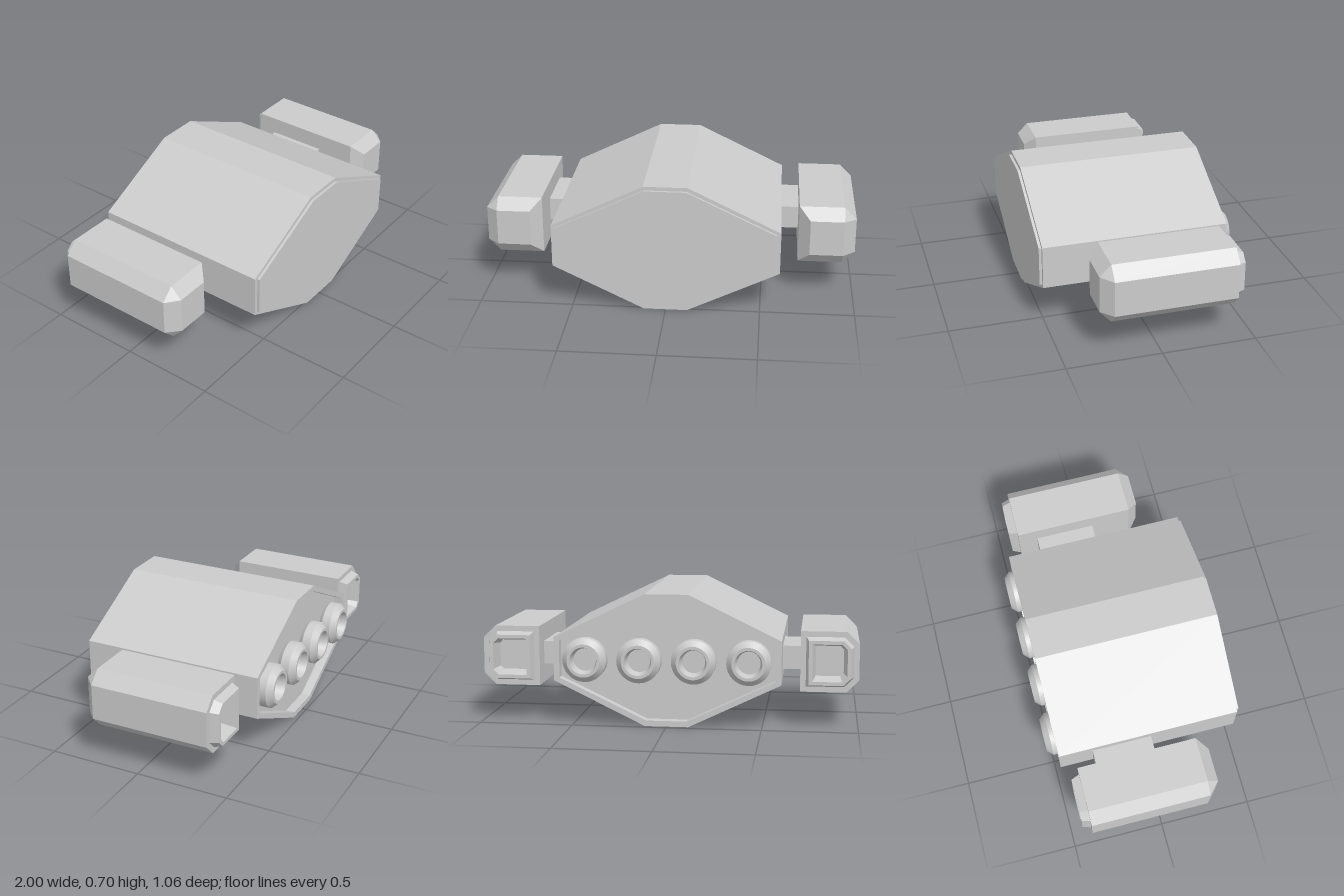
import * as THREE from 'three';
import { toCreasedNormals } from 'three/addons/utils/BufferGeometryUtils.js';

const grey = new THREE.MeshStandardMaterial({ color: 0xcccccc });
const greyFlat = new THREE.MeshStandardMaterial({ color: 0xcccccc, flatShading: true });

// Skin through sections [z, [[x, y], ...]] listed from front (+z) to back,
// points counter-clockwise seen from the front; both ends are capped.
function loft(sections) {
  const n = sections[0][1].length;
  const pos = [];
  const index = [];
  for (const [z, pts] of sections) for (const [x, y] of pts) pos.push(x, y, z);
  const last = (sections.length - 1) * n;
  for (let s = 0; s < last; s += n) {
    for (let i = 0; i < n; i++) {
      const j = (i + 1) % n;
      index.push(s + i, s + n + i, s + n + j, s + i, s + n + j, s + j);
    }
  }
  for (let i = 1; i < n - 1; i++) {
    index.push(0, i, i + 1, last, last + i + 1, last + i);
  }
  const geo = new THREE.BufferGeometry();
  geo.setAttribute('position', new THREE.Float32BufferAttribute(pos, 3));
  geo.setIndex(index);
  const flat = geo.toNonIndexed();
  flat.computeVertexNormals();
  return flat;
}

function addMesh(parent, name, geometry, material = greyFlat) {
  const mesh = new THREE.Mesh(geometry, material);
  mesh.name = name;
  parent.add(mesh);
  return mesh;
}

// Eight-sided hull outline, pulled in by d
function hullOutline(d) {
  const a = 0.115 - d * 0.25, w = 0.6 - d, h = 0.35 - d, s = 0.115 - d * 0.5;
  return [[a, h], [-a, h], [-w, s], [-w, -s], [-a, -h], [a, -h], [w, -s], [w, s]]
    .map(([x, y]) => [x, y + 0.35]);
}

// Pod outline with only the outer corners cut, pulled in by d
function podOutline(d) {
  const i = 0.695 + d, o = 1 - d, h = 0.16 - d, c = 0.065 - d * 0.6;
  return [[i, h], [i, -h], [o - c, -h], [o, c - h], [o, h - c], [o - c, h]]
    .map(([x, y]) => [x, y + 0.35]);
}

function createPod(side) {
  const pod = new THREE.Group();
  pod.name = side > 0 ? 'leftPod' : 'rightPod';
  // Mirroring also reverses the order so that faces keep pointing outwards
  const place = ([z, pts]) =>
    [z, side > 0 ? pts : pts.map(([x, y]) => [-x, y]).reverse()];

  const nose = [[0.755, 0.45], [0.755, 0.255], [0.935, 0.255],
    [0.935, 0.255], [0.935, 0.45], [0.935, 0.45]];
  addMesh(pod, 'podShell', loft([
    [0.31, nose],
    [0.25, podOutline(0)],
    [-0.395, podOutline(0)],
    // raised exhaust with a hollow opening
    [-0.395, podOutline(0.029)],
    [-0.44, podOutline(0.043)],
    [-0.44, podOutline(0.062)],
    [-0.36, podOutline(0.08)],
  ].map(place)));

  const strut = addMesh(pod, 'podStrut', new THREE.BoxGeometry(0.12, 0.125, 0.325));
  strut.position.set(side * 0.65, 0.352, -0.128);
  return pod;
}

export function createModel() {
  const model = new THREE.Group();
  model.name = 'spacecraft';

  // Hull with a raised front plate and a recessed back
  addMesh(model, 'hull', loft([
    [0.528, hullOutline(0.02)],
    [0.514, hullOutline(0.02)],
    [0.514, hullOutline(0)],
    [-0.475, hullOutline(0)],
    [-0.475, hullOutline(0.03)],
    [-0.425, hullOutline(0.03)],
  ]));

  // Row of hollow engine nozzles
  const profile = [[0.088, 0], [0.117, 0.03], [0.117, 0.077], [0.088, 0.108],
    [0.072, 0.108], [0.06, 0.055], [0, 0.055]].map(([r, y]) => new THREE.Vector2(r, y));
  const nozzle = toCreasedNormals(new THREE.LatheGeometry(profile, 32), 0.5);
  for (let i = 0; i < 4; i++) {
    const engine = addMesh(model, 'engineNozzle', nozzle, grey);
    engine.rotation.x = -Math.PI / 2;
    engine.position.set((i - 1.5) * 0.288, 0.35, -0.42);
  }

  for (const side of [1, -1]) model.add(createPod(side));
  return model;
}
